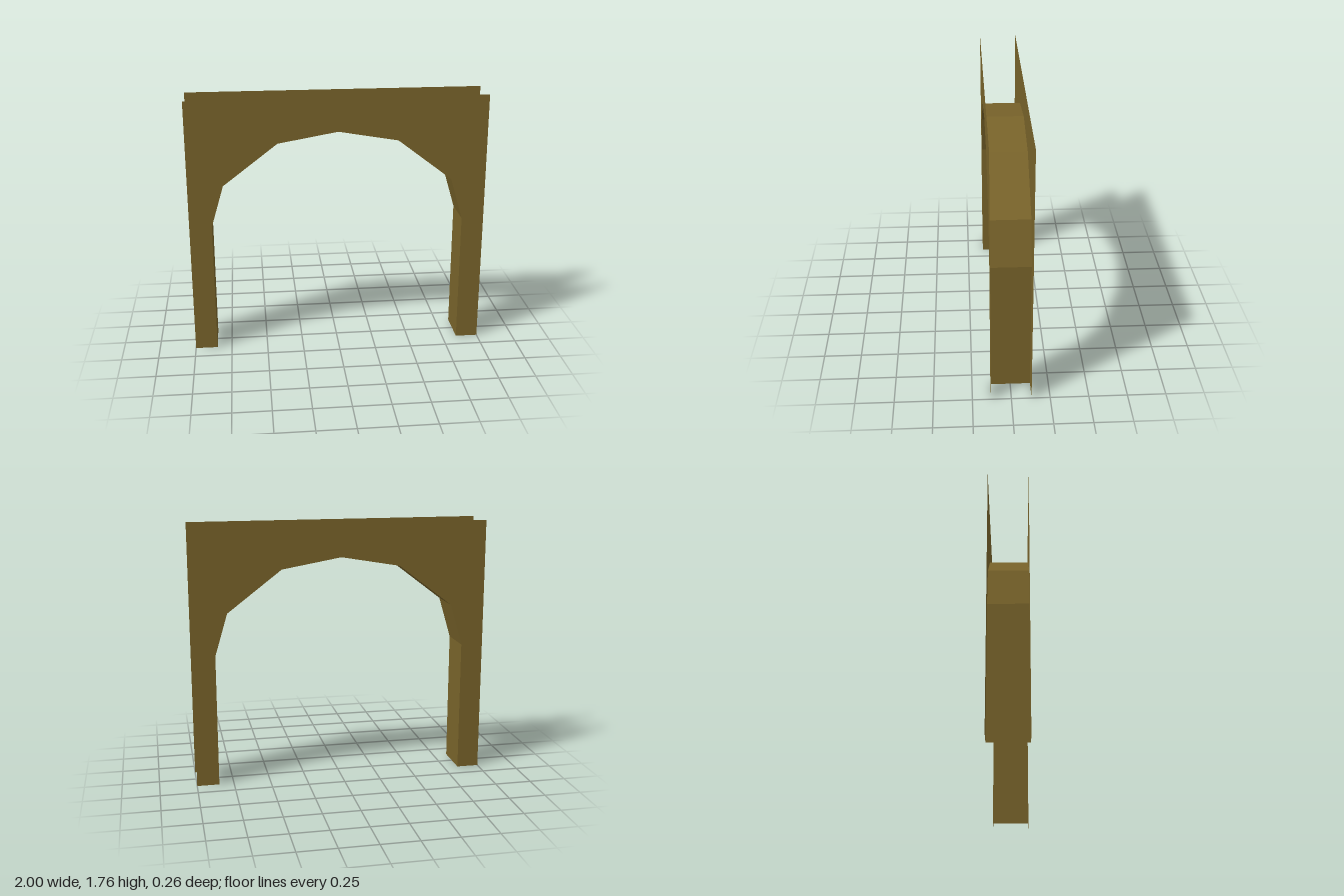
import * as THREE from 'three';

const DEPTH = 0.26, HEIGHT = 1.76;

// Right half of the opening, from the floor to the crown
const half = [[0.85, 0], [0.85, 0.9], [0.765, 1.185], [0.4, 1.465], [0, 1.535]];
const opening = [...half, ...half.slice(0, -1).reverse().map(([x, y]) => [-x, y])];

export function createModel() {
  const group = new THREE.Group();
  group.name = 'archway';
  const material = new THREE.MeshStandardMaterial({ color: 0x78632a, side: THREE.DoubleSide, flatShading: true });

  // Thin wall faces, front and back
  const shape = new THREE.Shape(
    [[-1, 0], [-1, HEIGHT], [1, HEIGHT], [1, 0], ...opening].map(([x, y]) => new THREE.Vector2(x, y)));
  const wall = new THREE.ShapeGeometry(shape);
  for (const side of [1, -1]) {
    const panel = new THREE.Mesh(wall, material);
    panel.name = side > 0 ? 'frontPanel' : 'backPanel';
    panel.position.z = side * DEPTH / 2;
    if (side < 0) panel.rotation.y = Math.PI;
    group.add(panel);
  }

  // Faceted lining of the opening; the top and outer sides stay open
  const lining = new THREE.PlaneGeometry(1, 1, opening.length - 1, 1);
  const pos = lining.attributes.position;
  for (let i = 0; i < pos.count; i++) {
    const [x, y] = opening[i % opening.length];
    pos.setXYZ(i, x, y, (i < opening.length ? 1 : -1) * DEPTH / 2);
  }
  const flatLining = lining.toNonIndexed();
  flatLining.computeVertexNormals();
  const liningMesh = new THREE.Mesh(flatLining, material);
  liningMesh.name = 'archLining';
  group.add(liningMesh);

  return group;
}
